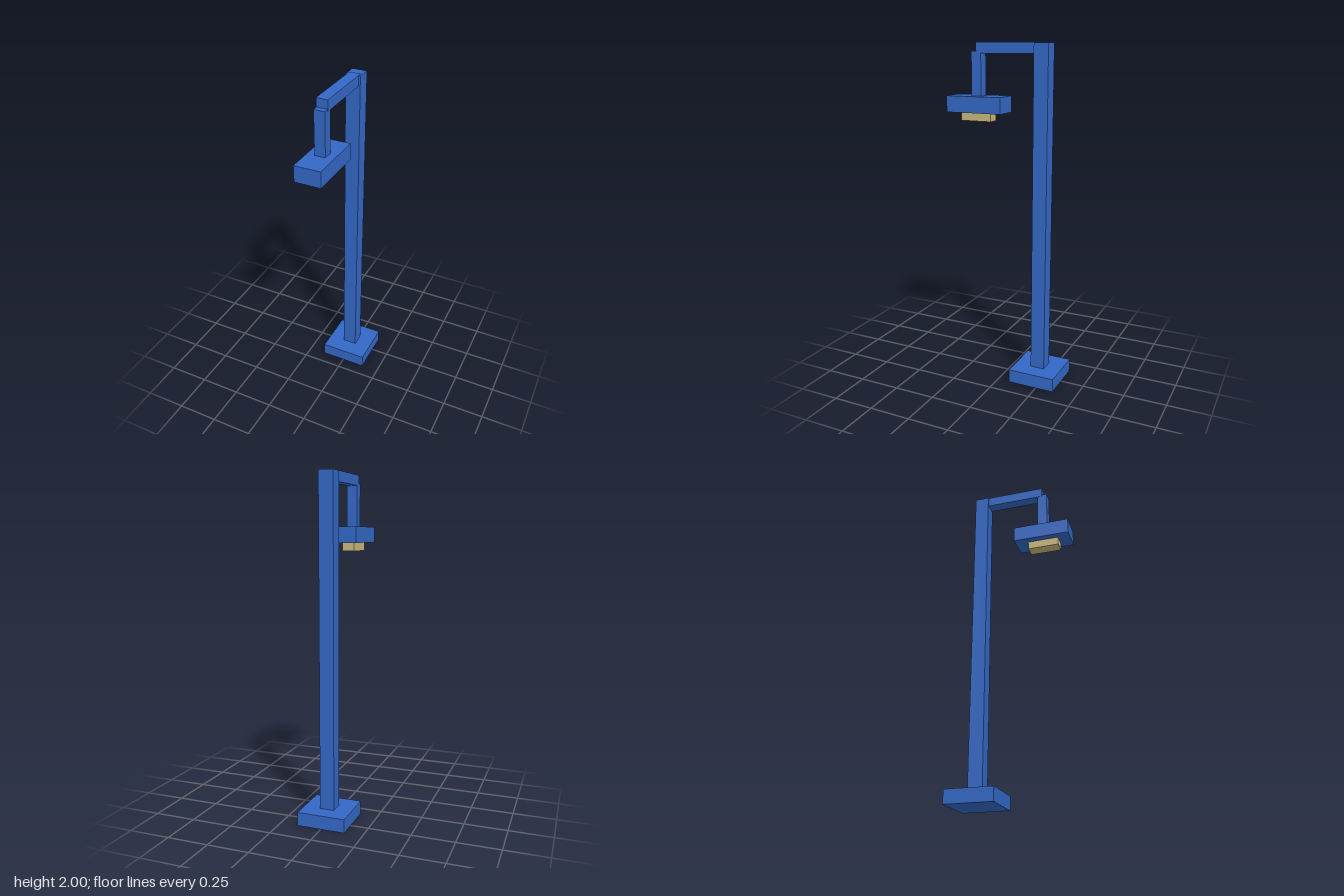
import * as THREE from 'three';

export function createModel() {
  const model = new THREE.Group();
  model.name = 'streetLamp';

  const blue = new THREE.MeshStandardMaterial({ color: 0x3468c6 });
  blue.name = 'blue paint';
  const cream = new THREE.MeshStandardMaterial({ color: 0xcbb87c });
  cream.name = 'cream light';

  // Box centred on x = 0, given its full width and its y and z ranges
  function addBox(name, material, width, [y0, y1], [z0, z1]) {
    const mesh = new THREE.Mesh(new THREE.BoxGeometry(width, y1 - y0, z1 - z0), material);
    mesh.name = name;
    mesh.position.set(0, (y0 + y1) / 2, (z0 + z1) / 2);
    model.add(mesh);
  }

  // Post standing on its foot
  addBox('base', blue, 0.286, [0, 0.08], [-0.358, -0.074]);
  addBox('post', blue, 0.086, [0.08, 1.997], [-0.26, -0.174]);

  // Arm reaching forward, with the hanger below its end
  addBox('arm', blue, 0.066, [1.939, 2], [-0.199, 0.186]);
  addBox('hanger', blue, 0.062, [1.7, 1.951], [0.156, 0.217]);

  // Lamp head with the light underneath
  addBox('lampHead', blue, 0.154, [1.606, 1.7], [0.014, 0.358]);
  addBox('light', cream, 0.072, [1.557, 1.606], [0.094, 0.285]);

  return model;
}
